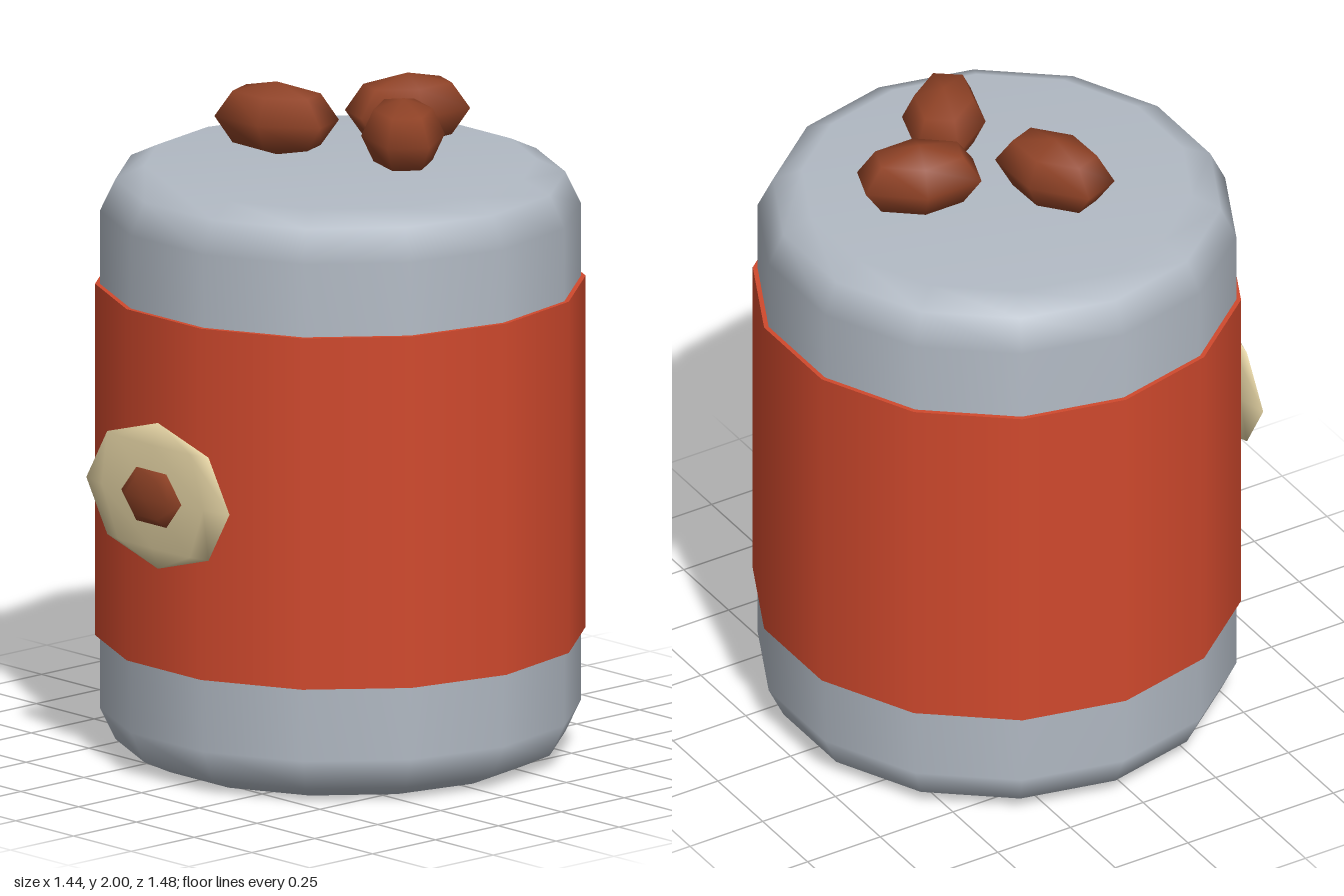
import * as THREE from 'three';

export function createModel() {
  const model = new THREE.Group();
  model.name = 'nutCan';

  const material = (name, color) => {
    const m = new THREE.MeshStandardMaterial({ color });
    m.name = name;
    return m;
  };
  const metal = material('greyMetal', 0xb2bac4);
  const red = material('redLabel', 0xd0492d);
  const cream = material('creamBadge', 0xe3d2a3);
  const brown = material('nutBrown', 0x8f4226);

  const add = (name, geometry, mat, x, y, z) => {
    const mesh = new THREE.Mesh(geometry, mat);
    mesh.name = name;
    mesh.position.set(x, y, z);
    model.add(mesh);
    return mesh;
  };

  const sides = 14;
  const axisZ = -0.04;

  // Can body with bevelled rims; a corner of the polygon points to each side
  const profile = [
    [0, 0.005], [0.575, 0.005], [0.66, 0.045], [0.706, 0.14],
    [0.706, 1.64], [0.66, 1.735], [0.575, 1.775], [0, 1.775],
  ].map(([r, y]) => new THREE.Vector2(r, y));
  add('canBody', new THREE.LatheGeometry(profile, sides, Math.PI / 2), metal, 0, 0, axisZ);

  // Label band wrapped around the can
  const band = new THREE.CylinderGeometry(0.72, 0.72, 1.06, sides, 1, false, Math.PI / 2);
  add('labelBand', band, red, 0, 0.89, axisZ);

  // Badge on the front with a flattened nut at its centre
  add('badge', new THREE.SphereGeometry(1, 8, 4).scale(0.31, 0.22, 0.031), cream, 0, 0.89, 0.685);
  const emblem = new THREE.SphereGeometry(1, 6, 4).rotateX(Math.PI / 2).scale(0.13, 0.093, 0.031);
  add('badgeNut', emblem, brown, 0, 0.89, 0.711);

  // Three loose nuts on the lid: x, z, turn
  const nut = new THREE.SphereGeometry(1, 6, 4).scale(0.123, 0.11, 0.2);
  [
    [0, -0.307, -0.34],
    [0.22, -0.087, 0.92],
    [-0.18, 0.048, 1.935],
  ].forEach(([x, z, turn], i) => {
    add('lidNut' + (i + 1), nut, brown, x, 1.89, z).rotation.y = turn;
  });

  return model;
}
